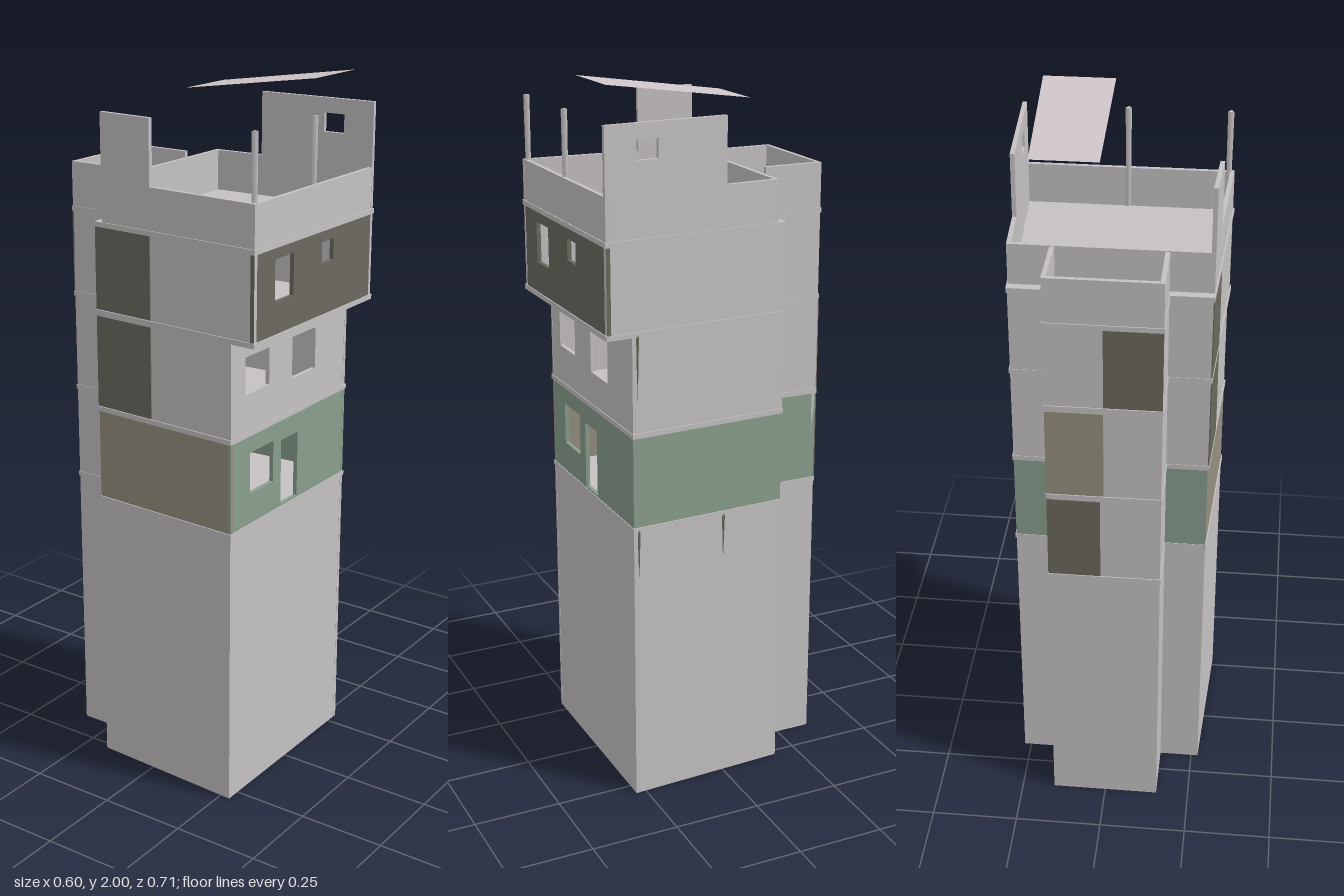
import * as THREE from 'three';

const flat = (name, color, both = false) => {
  const m = new THREE.MeshStandardMaterial({ color });
  m.name = name;
  if (both) m.side = THREE.DoubleSide;
  return m;
};

export function createModel() {
  const grey = flat('concrete grey', 0xc6c2c3);
  const green = flat('painted green', 0x8a9f8e);
  const dark = flat('dark olive', 0x6b695f);
  const taupe = flat('taupe', 0x979080);
  const sheet = flat('pale sheet', 0xcfc6ca, true);

  const root = new THREE.Group();
  const add = (parent, geo, mat, name) => {
    const m = new THREE.Mesh(geo, mat);
    m.name = name;
    parent.add(m);
    return m;
  };
  const group = (name) => {
    const g = new THREE.Group();
    g.name = name;
    root.add(g);
    return g;
  };

  // Plan: a slightly tapering main block with a narrower rear block
  const LOW = 0.28, HIGH = 0.352, STEP = -0.18, BACK = -0.352, REAR = 0.155;
  const half = (z) => 0.27 + (z - STEP) * 0.05;
  const plan = (f) => [
    [-half(f), f], [half(f), f], [0.27, STEP], [REAR, STEP],
    [REAR, BACK], [-REAR, BACK], [-REAR, STEP], [-0.27, STEP],
  ];
  const sides = ['frontWall', 'rightWall', 'rightStepWall', 'rearRightWall',
    'backWall', 'rearLeftWall', 'leftStepWall', 'leftWall'];

  const ring = (pts) => pts.map(([x, y]) => new THREE.Vector2(x, y));
  const rect = (a, b, c, d) => ring([[a, c], [b, c], [b, d], [a, d]]);

  // Upright plate from p to q, with its outer face on that line; holes are [u0, u1, y0, y1]
  const wall = (parent, p, q, y0, y1, mat, name, holes = [], t = 0.012, out = 0) => {
    const dx = q[0] - p[0], dz = q[1] - p[1];
    const shape = new THREE.Shape(rect(0, Math.hypot(dx, dz), y0, y1));
    holes.forEach((h) => shape.holes.push(new THREE.Path(rect(...h))));
    const geo = new THREE.ExtrudeGeometry(shape, { depth: t, bevelEnabled: false });
    geo.translate(0, 0, out - t);
    const m = add(parent, geo, mat, name);
    m.position.set(p[0], 0, p[1]);
    m.rotation.y = Math.atan2(-dz, dx);
    return m;
  };

  // Horizontal plate with an optional stair well
  const slab = (parent, pts, y, t, mat, name, well) => {
    const shape = new THREE.Shape(ring(pts.map(([x, z]) => [x, -z])));
    if (well) shape.holes.push(new THREE.Path(rect(-0.25, 0.03, 0.005, 0.085)));
    const geo = new THREE.ExtrudeGeometry(shape, { depth: t, bevelEnabled: false });
    geo.rotateX(-Math.PI / 2);
    add(parent, geo, mat, name).position.y = y;
  };

  // Storeys: the top one overhangs the front; openings are [x0, x1, y0, y1]
  const storeys = [
    { name: 'base', y0: 0, y1: 0.81, f: LOW, open: [], paint: {} },
    {
      name: 'greenStorey', y0: 0.81, y1: 1.08, f: LOW,
      open: [[-0.2, -0.085, 0.905, 1.025], [-0.045, 0.04, 0.823, 1.015]],
      paint: {
        frontWall: green, rightWall: green, rightStepWall: green,
        rearRightWall: green, leftStepWall: green, leftWall: taupe,
      },
    },
    {
      name: 'middleStorey', y0: 1.08, y1: 1.36, f: LOW,
      open: [[-0.225, -0.11, 1.195, 1.3], [0.005, 0.125, 1.18, 1.3]], paint: {},
    },
    {
      name: 'overhangStorey', y0: 1.36, y1: 1.61, f: HIGH,
      open: [[-0.2, -0.11, 1.455, 1.57], [0.03, 0.09, 1.51, 1.57]],
      paint: { frontWall: dark },
    },
  ];
  storeys.forEach(({ name, y0, y1, f, open, paint }, level) => {
    const g = group(name);
    const pts = plan(f);
    sides.forEach((side, i) => {
      const holes = side === 'frontWall'
        ? open.map(([a, b, c, d]) => [a + half(f), b + half(f), c, d]) : [];
      wall(g, pts[i], pts[(i + 1) % 8], y0, y1, paint[side] || grey, side, holes);
    });
    if (level === 0) return;
    // Floor ledge, inner partition and stair flight rising towards the right-hand wall
    const ledge = pts.map(([x, z]) => [x * 1.012, z * 1.008]);
    slab(g, ledge, y0 - 0.006, 0.014, grey, 'floorLedge', level > 1);
    wall(g, [-0.255, -0.15], [0.255, -0.15], y0, y1, grey, 'innerPartition');
    const n = 12, w = 0.28 / n, rise = (y1 - y0) / n;
    for (let i = 0; i < n; i++) {
      add(g, new THREE.BoxGeometry(w, rise, 0.08), grey, 'stairStep')
        .position.set(0.03 - (i + 0.5) * w, y0 + (i + 0.5) * rise, -0.045);
    }
  });

  // Painted panels on the back and left sides
  const panels = group('paintedPanels');
  const panel = (p, q, y0, y1, mat, name) =>
    wall(panels, p, q, y0, y1, mat, name, [], 0.005, 0.003);
  panel([REAR, BACK], [0.01, BACK], 0.82, 1.07, dark, 'lowerBackPanel');
  panel([REAR, BACK], [0.0, BACK], 1.09, 1.35, taupe, 'middleBackPanel');
  panel([0.0, BACK], [-REAR, BACK], 1.37, 1.6, dark, 'upperBackPanel');
  [[1.09, 1.35], [1.37, 1.6]].forEach(([a, b]) =>
    panel([-half(STEP), STEP], [-half(0.01), 0.01], a, b, dark, 'leftPanel'));

  // Roof deck, parapets and the raised wall pieces
  const roof = group('roof');
  slab(roof, plan(HIGH).map(([x, z]) => [x * 1.012, z * 1.008]), 1.6, 0.014, grey, 'roofLedge', true);
  slab(roof, [[-REAR, STEP], [REAR, STEP], [REAR, BACK], [-REAR, BACK]].reverse(),
    1.61, 0.03, grey, 'rearRoof');
  const edge = -0.157;
  const main = [[-half(HIGH), HIGH], [half(HIGH), HIGH], [half(edge), edge], [-half(edge), edge]];
  main.forEach((p, i) => wall(roof, p, main[(i + 1) % 4], 1.61, 1.73, grey, 'mainParapet'));
  const rear = plan(HIGH).slice(3, 7);
  for (let i = 0; i < 3; i++) wall(roof, rear[i], rear[i + 1], 1.61, 1.74, grey, 'rearParapet');
  wall(roof, [half(HIGH), HIGH], [half(0), 0], 1.73, 1.91, grey, 'raisedRightWall',
    [[0.09, 0.152, 1.815, 1.868]]);
  wall(roof, [-half(edge), edge], [-half(0.01), 0.01], 1.73, 1.91, grey, 'raisedLeftWall');
  [-0.281, 0].forEach((x) => add(roof, new THREE.CylinderGeometry(0.01, 0.008, 0.3, 3), grey, 'roofPost')
    .position.set(x, 1.76, 0.34));

  // Sloping canopy sheet
  const canopy = new THREE.PlaneGeometry(0.2, 0.42).rotateX(-Math.PI / 2);
  const pos = canopy.attributes.position;
  for (let i = 0; i < pos.count; i++) {
    const front = pos.getZ(i) > 0;
    const right = pos.getX(i) > 0;
    pos.setXYZ(i, right ? (front ? 0.233 : 0.217) : 0.033, front ? 2 : 1.94, front ? 0.32 : -0.098);
  }
  canopy.computeVertexNormals();
  add(roof, canopy, sheet, 'canopy');

  // Slim tapering brackets under the ledges on the right-hand side
  [[0.265, 0.81, 0.21], [0.003, 0.81, 0.2], [0.265, 1.36, 0.26]].forEach(([z, y, h]) => {
    const b = add(root, new THREE.CylinderGeometry(0.008, 0.001, h, 4), dark, 'bracket');
    b.position.set(half(z) - 0.003, y - h / 2, z);
  });

  return root;
}
